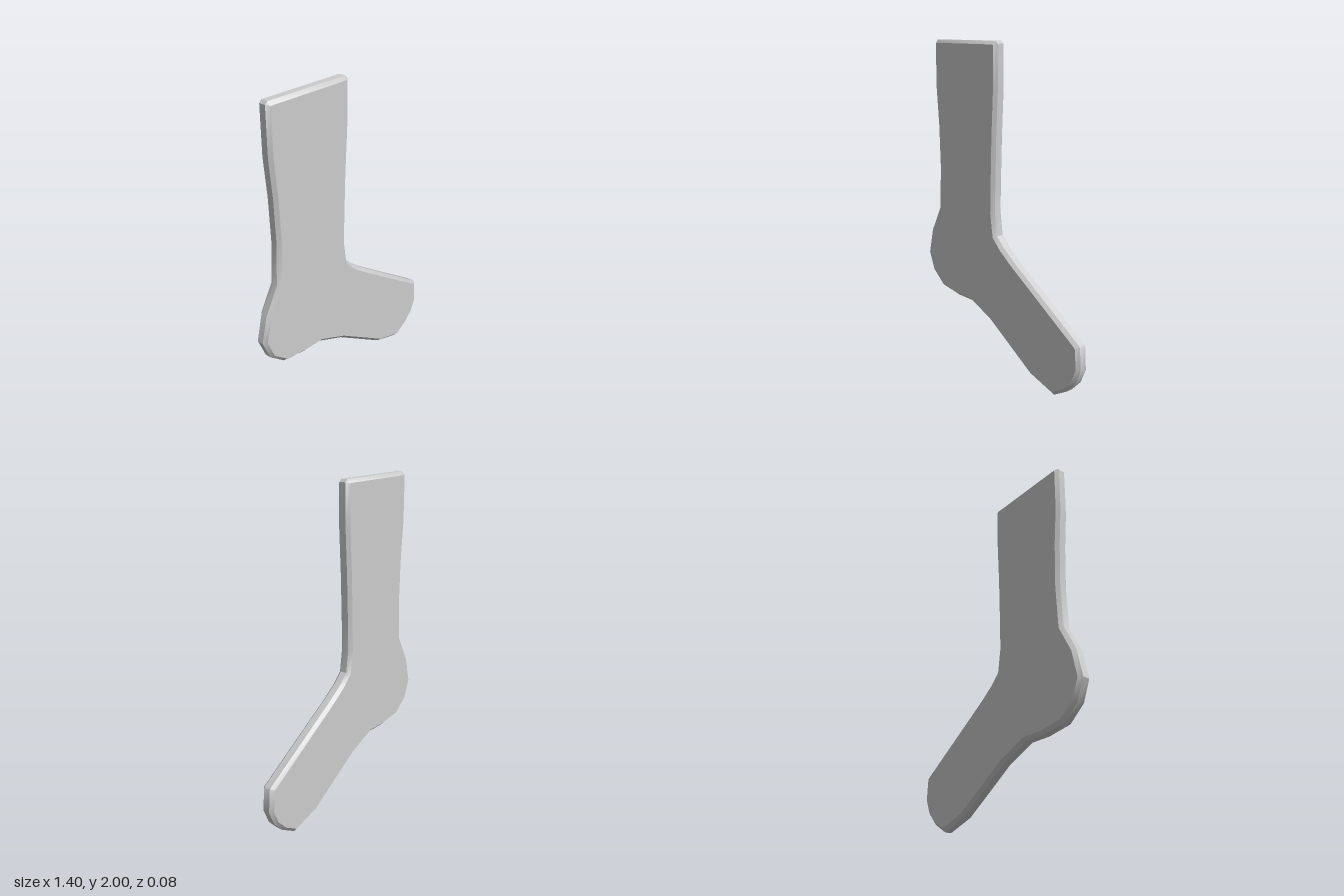
import * as THREE from 'three';
import { toCreasedNormals } from 'three/addons/utils/BufferGeometryUtils.js';

// Side silhouette of the sock, counter-clockwise from the cuff's rear corner
const OUTLINE = [
  // back of the leg
  [-0.585, 1.984], [-0.585, 1.7], [-0.566, 1.47], [-0.558, 1.2], [-0.572, 0.935],
  // heel
  [-0.66, 0.77], [-0.7, 0.6], [-0.65, 0.476], [-0.548, 0.393],
  // sole
  [-0.39, 0.37], [-0.25, 0.37], [-0.06, 0.29], [0.305, 0.058],
  // toe
  [0.495, 0], [0.595, 0.06], [0.66, 0.13], [0.697, 0.22], [0.687, 0.357], [0.678, 0.37],
  // instep
  [0.145, 0.72], [0.05, 0.79], [-0.01, 0.85],
  // front of the leg
  [-0.03, 0.99], [-0.025, 1.2], [-0.017, 1.45], [-0.002, 1.73], [-0.002, 1.984],
  // cuff
  [-0.018, 2], [-0.569, 2],
];

const BEVEL = 0.02;
const WALL = 0.042;

export function createModel() {
  const shape = new THREE.Shape(OUTLINE.map(([x, y]) => new THREE.Vector2(x, y)));

  // Flat slab whose chamfer is cut inward from the silhouette
  const slab = new THREE.ExtrudeGeometry(shape, {
    depth: WALL,
    bevelEnabled: true,
    bevelSegments: 1,
    bevelSize: BEVEL,
    bevelThickness: BEVEL,
    bevelOffset: -BEVEL,
  });
  slab.translate(0, 0, -WALL / 2);

  const sock = new THREE.Mesh(
    toCreasedNormals(slab, 0.6),
    new THREE.MeshStandardMaterial({ color: 0xcccccc }),
  );
  sock.name = 'sock';

  const group = new THREE.Group();
  group.name = 'flatSock';
  group.add(sock);
  return group;
}
